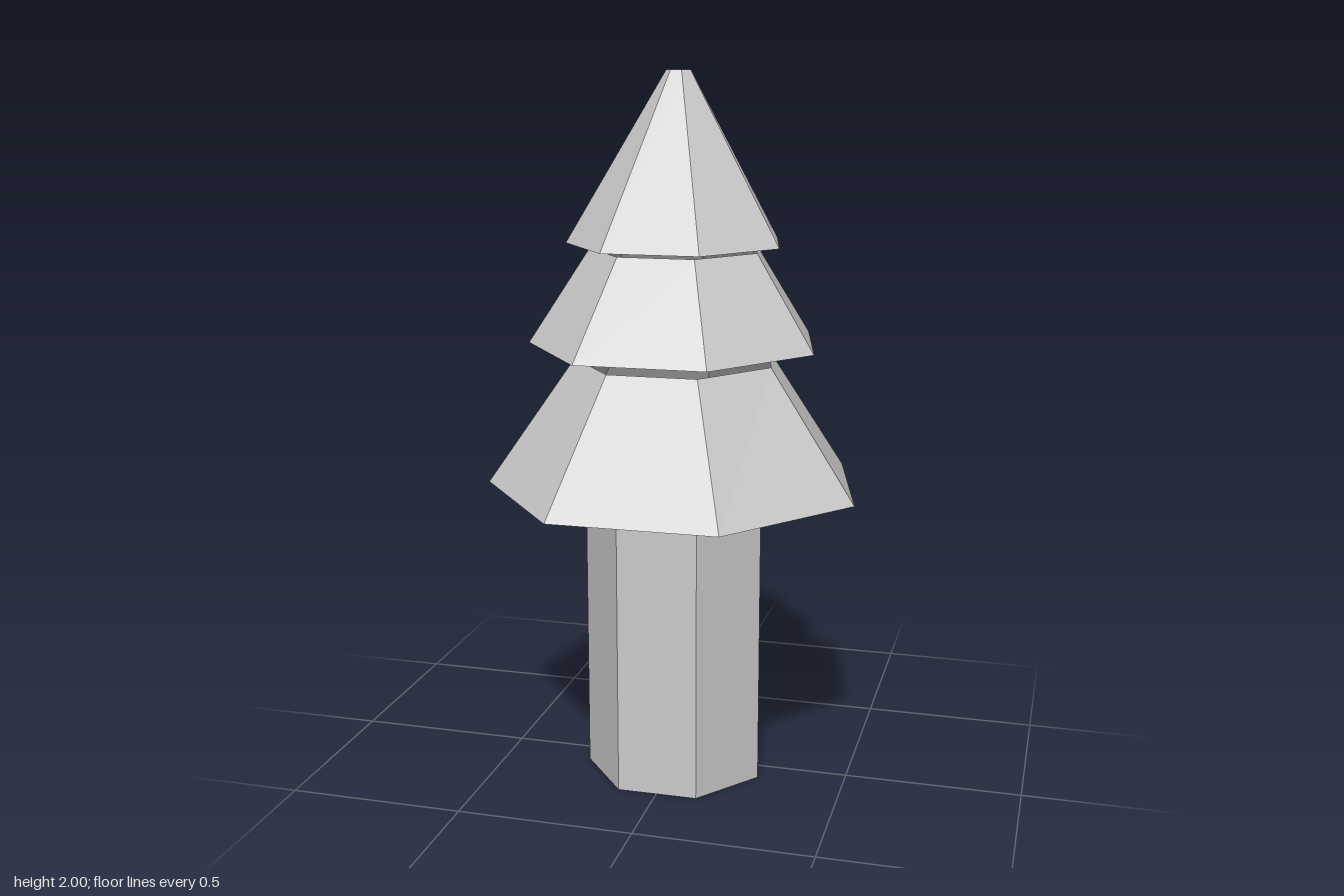
import * as THREE from 'three';

const SIDES = 7;
const TURN = 0.009; // slight twist about the vertical
const material = new THREE.MeshStandardMaterial({
  color: 0xcccccc, flatShading: true, side: THREE.DoubleSide,
});

// Open seven-sided wall between two rings, each { y, rx, rz, cz }
function skirt(name, bottom, top) {
  const geometry = new THREE.CylinderGeometry(1, 1, 1, SIDES, 1, true, Math.PI + TURN);
  const pos = geometry.attributes.position;
  for (let i = 0; i < pos.count; i++) {
    const ring = pos.getY(i) > 0 ? top : bottom;
    pos.setXYZ(i, pos.getX(i) * ring.rx, ring.y, pos.getZ(i) * ring.rz + ring.cz);
  }
  geometry.computeVertexNormals();
  const mesh = new THREE.Mesh(geometry, material);
  mesh.name = name;
  return mesh;
}

const ring = (y, rx, rz, cz = 0.023) => ({ y, rx, rz, cz });

export function createModel() {
  const tree = new THREE.Group();
  tree.name = 'tree';

  // Trunk and three separate tiers of foliage
  const tip = ring(2, 0.035, 0.037, 0.004);
  tree.add(
    skirt('trunk', ring(0, 0.261, 0.26), ring(0.852, 0.261, 0.26)),
    skirt('lowerFoliage', ring(0.852, 0.538, 0.538), ring(1.212, 0.287, 0.304)),
    skirt('middleFoliage', ring(1.257, 0.413, 0.44), ring(1.52, 0.242, 0.255)),
    skirt('upperFoliage', ring(1.535, 0.307, 0.326, 0.021), tip),
  );

  // Small flat cap closing the tip
  const capGeometry = new THREE.CircleGeometry(1, SIDES, Math.PI / 2 + TURN);
  capGeometry.rotateX(-Math.PI / 2);
  capGeometry.scale(tip.rx, 1, tip.rz);
  const cap = new THREE.Mesh(capGeometry, material);
  cap.name = 'tipCap';
  cap.position.set(0, tip.y, tip.cz);
  tree.add(cap);

  return tree;
}
